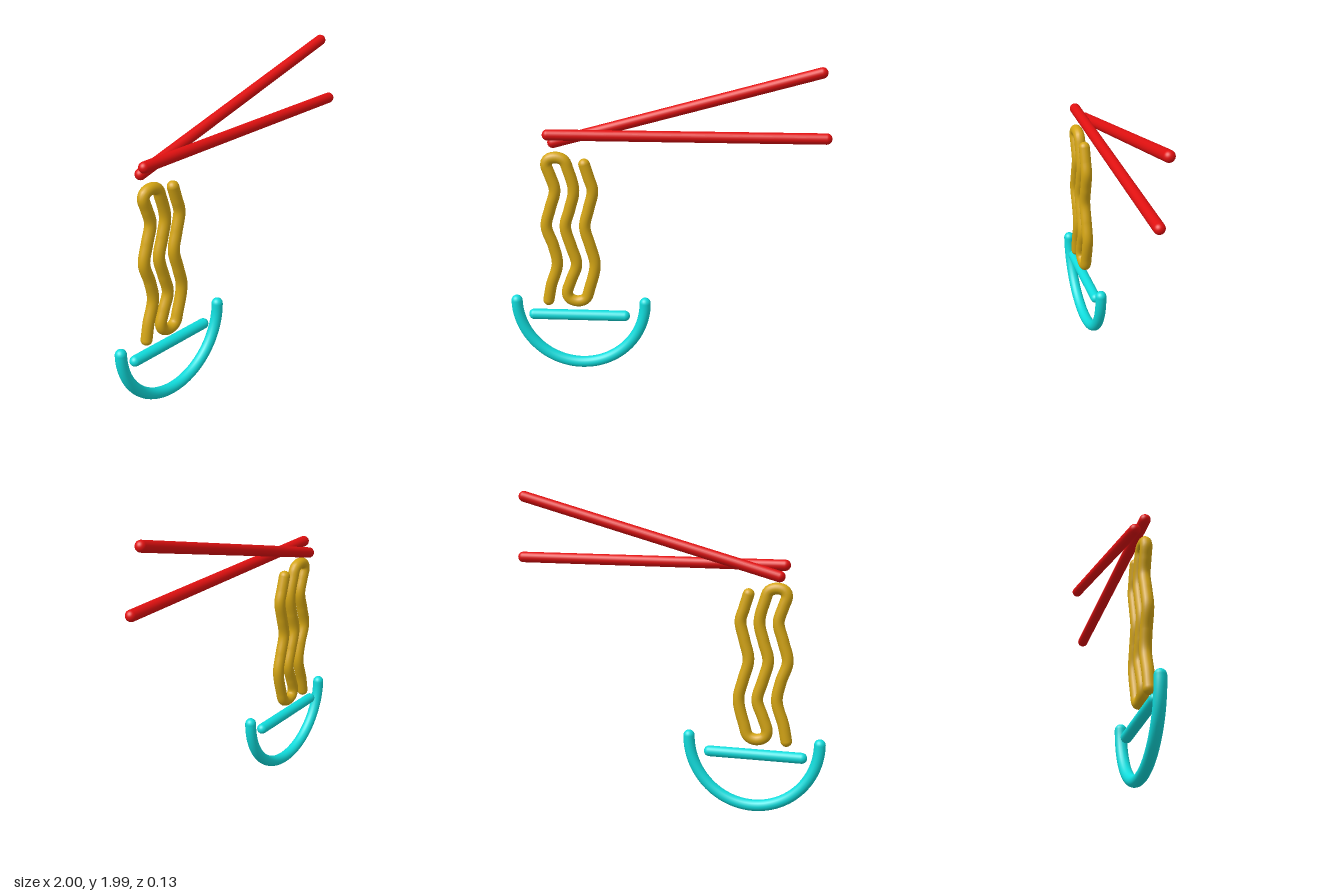
import * as THREE from 'three';

const R = 0.034; // radius shared by every rod
const Z = 0.028; // half the spacing between front and back layers

const red = new THREE.MeshStandardMaterial({ color: 0xe01010 });
const gold = new THREE.MeshStandardMaterial({ color: 0xd4a514 });
const cyan = new THREE.MeshStandardMaterial({ color: 0x10dcdc });

// Straight round-ended rod between two points in a layer
function rod(name, material, [x1, y1], [x2, y2], z) {
  const length = Math.hypot(x2 - x1, y2 - y1);
  const mesh = new THREE.Mesh(new THREE.CapsuleGeometry(R, length, 8, 24), material);
  mesh.name = name;
  mesh.position.set((x1 + x2) / 2, (y1 + y2) / 2, z);
  mesh.rotation.z = Math.atan2(y2 - y1, x2 - x1) - Math.PI / 2;
  return mesh;
}

// Curved tube with ball ends
function roundedTube(name, material, points, segments, radius) {
  const group = new THREE.Group();
  group.name = name;
  const curve = new THREE.CatmullRomCurve3(points);
  const tube = new THREE.Mesh(new THREE.TubeGeometry(curve, segments, radius, 20), material);
  tube.name = name + 'Tube';
  group.add(tube);
  for (const end of [points[0], points[points.length - 1]]) {
    const cap = new THREE.Mesh(new THREE.SphereGeometry(radius, 20, 14), material);
    cap.name = name + 'End';
    cap.position.copy(end);
    group.add(cap);
  }
  return group;
}

export function createModel() {
  const model = new THREE.Group();
  model.name = 'noodleBowl';

  // Bowl: half-circle outline and the bar across its mouth
  const arc = [];
  for (let i = 0; i <= 32; i++) {
    const a = Math.PI * (1 + i / 32);
    arc.push(new THREE.Vector3(-0.55 + 0.415 * Math.cos(a), 0.468 + 0.428 * Math.sin(a), Z));
  }
  model.add(roundedTube('bowl', cyan, arc, 64, R + 0.002));
  model.add(rod('bowlBar', cyan, [-0.855, 0.375], [-0.268, 0.375], Z));

  // Noodle: one wavy strand, up, down and up again
  const path = [
    [-0.757, 0.478], [-0.737, 0.578], [-0.693, 0.727], [-0.714, 0.85], [-0.754, 0.979],
    [-0.725, 1.10], [-0.693, 1.219], [-0.72, 1.316], [-0.741, 1.385], [-0.724, 1.417],
    [-0.676, 1.428], [-0.63, 1.41], [-0.607, 1.353], [-0.575, 1.219], [-0.602, 1.10],
    [-0.634, 0.979], [-0.602, 0.85], [-0.57, 0.727], [-0.607, 0.62], [-0.635, 0.53],
    [-0.62, 0.492], [-0.57, 0.473], [-0.517, 0.492], [-0.489, 0.567], [-0.452, 0.727],
    [-0.479, 0.85], [-0.511, 0.979], [-0.484, 1.10], [-0.457, 1.219], [-0.479, 1.30],
    [-0.505, 1.387],
  ].map(([x, y]) => new THREE.Vector3(x, y, Z));
  model.add(roundedTube('noodle', gold, path, 200, R + 0.002));

  // Chopsticks: level one in front, tilted one behind
  model.add(rod('frontChopstick', red, [-0.725, 1.57], [0.965, 1.57], Z));
  model.add(rod('backChopstick', red, [-0.703, 1.508], [0.926, 1.958], -Z));

  return model;
}
